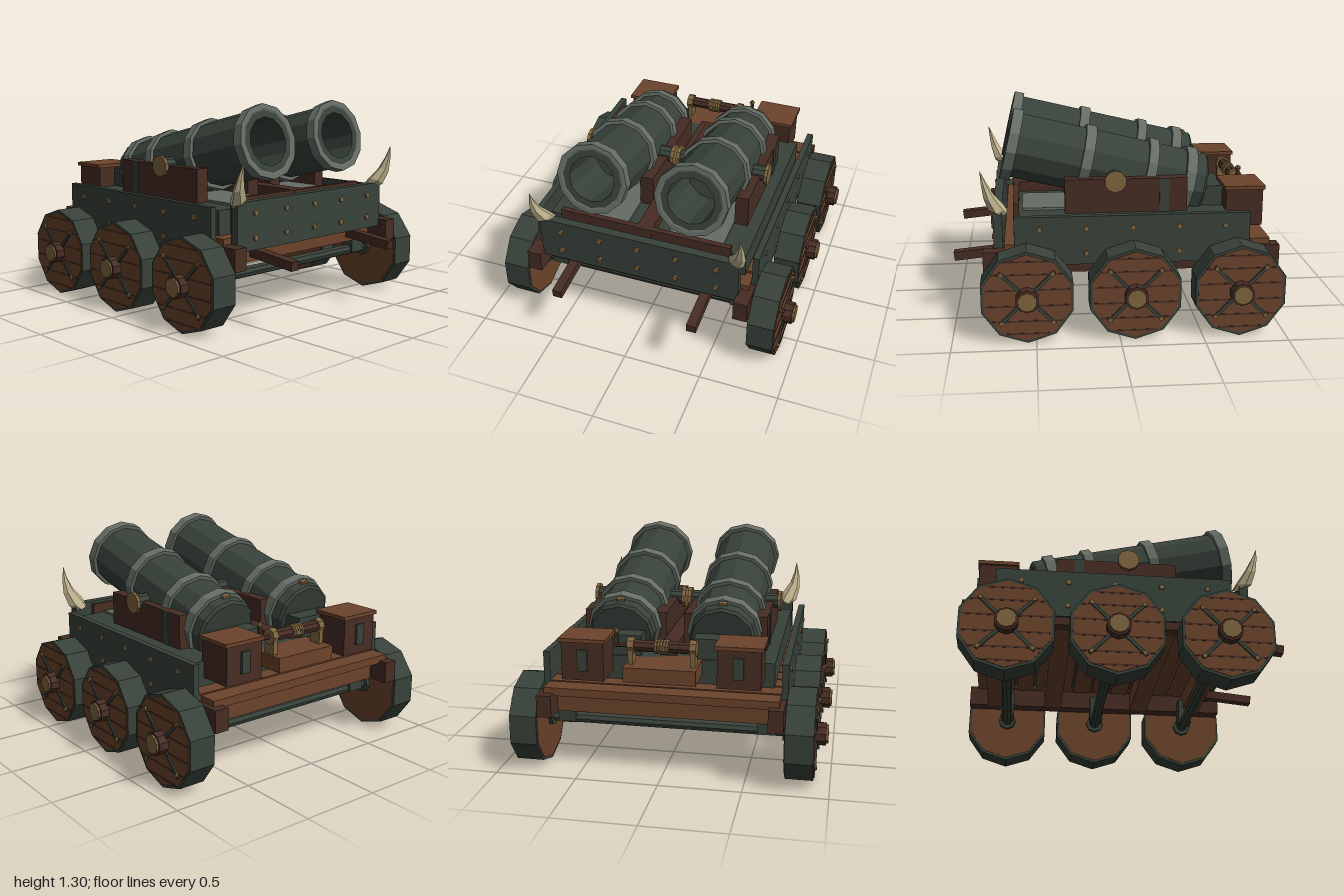
import * as THREE from 'three';

const mat = (name, color) => {
  const m = new THREE.MeshStandardMaterial({ color });
  m.name = name;
  return m;
};

export function createModel() {
  const root = new THREE.Group();
  root.name = 'cannonWagon';
  const iron = mat('darkGreenIron', 0x38423a);
  const steel = mat('greyBand', 0x656d65);
  const wood = mat('brownWood', 0x6b432b);
  const dark = mat('darkWood', 0x472d24);
  const brass = mat('brass', 0x80663f);
  const bone = mat('bone', 0xbfb38d);

  // faceted mesh helper
  const add = (parent, name, geo, material, x = 0, y = 0, z = 0) => {
    const g = geo.index ? geo.toNonIndexed() : geo;
    g.computeVertexNormals();
    const mesh = new THREE.Mesh(g, material);
    mesh.name = name;
    mesh.position.set(x, y, z);
    parent.add(mesh);
    return mesh;
  };
  // box given by its limits on each axis
  const box = (name, m, [x0, x1], [y0, y1], [z0, z1], parent = root) =>
    add(parent, name, new THREE.BoxGeometry(Math.abs(x1 - x0), y1 - y0, z1 - z0), m,
      (x0 + x1) / 2, (y0 + y1) / 2, (z0 + z1) / 2);
  // cylinder along x, with a corner pointing up
  const rod = (name, m, r, x0, x1, y, z, sides = 10, parent = root) => {
    const g = new THREE.CylinderGeometry(r, r, Math.abs(x1 - x0), sides);
    g.rotateY(Math.PI / 2).rotateZ(Math.PI / 2);
    return add(parent, name, g, m, (x0 + x1) / 2, y, z);
  };
  const sides = [1, -1];

  // wheels, built for the left side and turned for the right
  const wheel = () => {
    const w = new THREE.Group();
    w.name = 'wheel';
    rod('rim', iron, 0.285, -0.083, 0.083, 0, 0, 10, w);
    rod('outerPlanks', wood, 0.268, 0.08, 0.087, 0, 0, 10, w);
    rod('innerPlanks', wood, 0.268, -0.087, -0.08, 0, 0, 10, w);
    for (const y of [-0.225, -0.145, -0.05, 0.05, 0.145, 0.225]) {
      const h = Math.sqrt(0.262 ** 2 - y * y) * 0.97;
      box('plankSeam', dark, [0.083, 0.089], [y - 0.005, y + 0.005], [-h, h], w);
    }
    for (let i = 0; i < 4; i++) {
      const a = Math.PI / 4 + i * Math.PI / 2;
      const s = add(w, 'spoke', new THREE.BoxGeometry(0.014, 0.02, 0.2), iron,
        0.09, Math.sin(a) * 0.13, Math.cos(a) * 0.13);
      s.rotation.x = -a;
      rod('spokeRivet', brass, 0.014, 0.09, 0.103, Math.sin(a) * 0.215, Math.cos(a) * 0.215, 6, w);
    }
    rod('hub', dark, 0.07, 0.08, 0.145, 0, 0, 10, w);
    rod('hubCap', brass, 0.057, 0.14, 0.158, 0, 0, 10, w);
    rod('innerHub', iron, 0.06, -0.11, -0.08, 0, 0, 8, w);
    return w;
  };
  for (const z of [0.55, -0.09, -0.72]) {
    rod('axle', iron, 0.034, -0.75, 0.75, 0.29, z, 8);
    for (const s of sides) {
      const w = wheel();
      w.position.set(s * 0.82, 0.29, z);
      if (s < 0) w.rotation.y = Math.PI;
      root.add(w);
      box('axleBracket', iron, [s * 0.56, s * 0.67], [0.275, 0.44], [z - 0.045, z + 0.045]);
    }
  }

  // chassis: long beams, cross beams and floor planks
  for (const s of sides) {
    box('sideBeam', dark, [s * 0.64, s * 0.73], [0.38, 0.515], [-0.99, 0.81]);
    const pole = add(root, 'towPole', new THREE.BoxGeometry(0.06, 0.055, 0.4), dark, s * 0.44, 0.425, 0.8);
    pole.rotation.x = 0.1;
  }
  for (const z of [0.6, 0.22, -0.4, -0.8])
    box('crossBeam', wood, [-0.65, 0.65], [0.38, 0.5], [z - 0.06, z + 0.06]);
  for (let i = 0; i < 12; i++) {
    const z = -0.935 + i * 0.136;
    box('floorPlank', wood, [-0.7, 0.7], [0.5, 0.55], [z, z + 0.12]);
  }

  // armoured hull
  box('frontPlate', iron, [-0.65, 0.65], [0.47, 0.76], [0.69, 0.745]);
  for (const x of [-0.51, -0.25, 0, 0.25, 0.51])
    for (const y of [0.545, 0.69]) {
      const g = new THREE.CylinderGeometry(0.018, 0.018, 0.018, 6).rotateX(Math.PI / 2);
      add(root, 'frontRivet', g, brass, x, y, 0.75);
    }
  box('gunDeck', iron, [-0.65, 0.65], [0.54, 0.7], [-0.7, 0.59]);
  box('centreBeam', dark, [-0.05, 0.05], [0.68, 0.765], [-0.65, 0.63]);
  box('frontSill', dark, [-0.56, 0.56], [0.54, 0.765], [0.59, 0.625]);
  for (const s of sides) {
    box('sidePlate', iron, [s * 0.7, s * 0.74], [0.43, 0.73], [-0.8, 0.62]);
    for (let i = 0; i < 5; i++)
      for (const y of [0.5, 0.655])
        rod('sideRivet', brass, 0.017, s * 0.735, s * 0.75, y, 0.47 - i * 0.28, 6);
  }

  // gun barrels with carriages
  const lathe = pts => new THREE.LatheGeometry(pts.map(p => new THREE.Vector2(...p)), 12);
  for (const s of sides) {
    const gun = new THREE.Group();
    gun.name = 'cannon';
    gun.position.set(s * 0.315, 1.085, 0.656);
    gun.rotation.x = Math.PI / 2 - 0.235;
    root.add(gun);
    add(gun, 'barrel', lathe([[0, -1.255], [0.19, -1.255], [0.206, -1.24], [0.206, 0],
      [0.148, 0], [0.148, -0.4], [0, -0.4]]), iron);
    for (const [a, b] of [[-0.06, 0.004], [-0.525, -0.46], [-0.925, -0.865], [-1.175, -1.11]])
      add(gun, 'barrelBand', lathe([[0.19, a], [0.229, a], [0.229, b], [0.2, b], [0.19, b - 0.004]]), steel);
    add(gun, 'touchHole', new THREE.BoxGeometry(0.05, 0.03, 0.02), brass, 0, -1.19, -0.207);

    box('outerCheek', dark, [s * 0.49, s * 0.575], [0.69, 0.91], [-0.44, 0.31]);
    box('innerCheek', dark, [s * 0.055, s * 0.145], [0.69, 0.91], [-0.44, 0.31]);
    box('cheekStrap', iron, [s * 0.57, s * 0.582], [0.7, 0.91], [-0.33, -0.27]);
    box('bedPlate', steel, [s * 0.14, s * 0.49], [0.69, 0.715], [0.05, 0.57]);
    box('breechBlock', iron, [s * 0.16, s * 0.47], [0.69, 0.825], [-0.69, -0.44]);
    rod('trunnion', iron, 0.05, s * 0.03, s * 0.605, 0.905, 0.005, 10);
    rod('outerTrunnionCap', brass, 0.068, s * 0.6, s * 0.622, 0.905, 0.005, 10);
    rod('innerTrunnionCap', brass, 0.068, s * 0.008, s * 0.032, 0.905, 0.005, 10);
  }

  // rear ammunition chests
  for (const s of sides) {
    box('chest', dark, [s * 0.335, s * 0.59], [0.6, 0.835], [-0.91, -0.68]);
    box('chestLid', wood, [s * 0.32, s * 0.605], [0.832, 0.855], [-0.92, -0.67]);
    box('chestLatch', iron, [s * 0.43, s * 0.49], [0.66, 0.79], [-0.925, -0.905]);
  }

  // winch between the chests
  box('winchBase', wood, [-0.215, 0.215], [0.61, 0.7], [-0.93, -0.65]);
  rod('winchDrum', dark, 0.036, -0.19, 0.19, 0.805, -0.82, 8);
  for (let i = -2; i <= 2; i++)
    rod('ropeCoil', brass, 0.046, i * 0.017 - 0.007, i * 0.017 + 0.007, 0.805, -0.82, 10);
  for (const s of sides) {
    box('winchPost', brass, [s * 0.17, s * 0.2], [0.69, 0.83], [-0.86, -0.78]);
    rod('winchCollar', brass, 0.05, s * 0.165, s * 0.205, 0.805, -0.82, 8);
  }
  rod('crankShaft', dark, 0.015, 0.19, 0.285, 0.805, -0.82, 6);
  box('crankArm', dark, [0.265, 0.285], [0.795, 0.885], [-0.83, -0.81]);
  add(root, 'crankKnob', new THREE.IcosahedronGeometry(0.02, 0), brass, 0.275, 0.888, -0.82);

  // curved horns on the front corners: [x, y, z, radius] sections
  const sections = [[0.6, 0.73, 0.69, 0.035], [0.625, 0.765, 0.725, 0.05], [0.66, 0.845, 0.765, 0.034],
    [0.668, 0.92, 0.79, 0.018], [0.663, 1.0, 0.812, 0.001]];
  const N = 6;
  for (const s of sides) {
    const pos = [], idx = [];
    sections.forEach(([x, y, z, r], j) => {
      for (let i = 0; i < N; i++) {
        const a = (i / N) * Math.PI * 2;
        const c = Math.cos(a) * r;
        pos.push(s * (x + c), y - c * 0.5, z + Math.sin(a) * r);
        if (j === 0) continue;
        const p = (j - 1) * N + i, q = (j - 1) * N + (i + 1) % N;
        const f = [p, p + N, q, q, p + N, q + N];
        idx.push(...(s > 0 ? f : f.reverse()));
      }
    });
    const g = new THREE.BufferGeometry();
    g.setAttribute('position', new THREE.Float32BufferAttribute(pos, 3));
    g.setIndex(idx);
    add(root, 'horn', g, bone);
  }
  return root;
}
